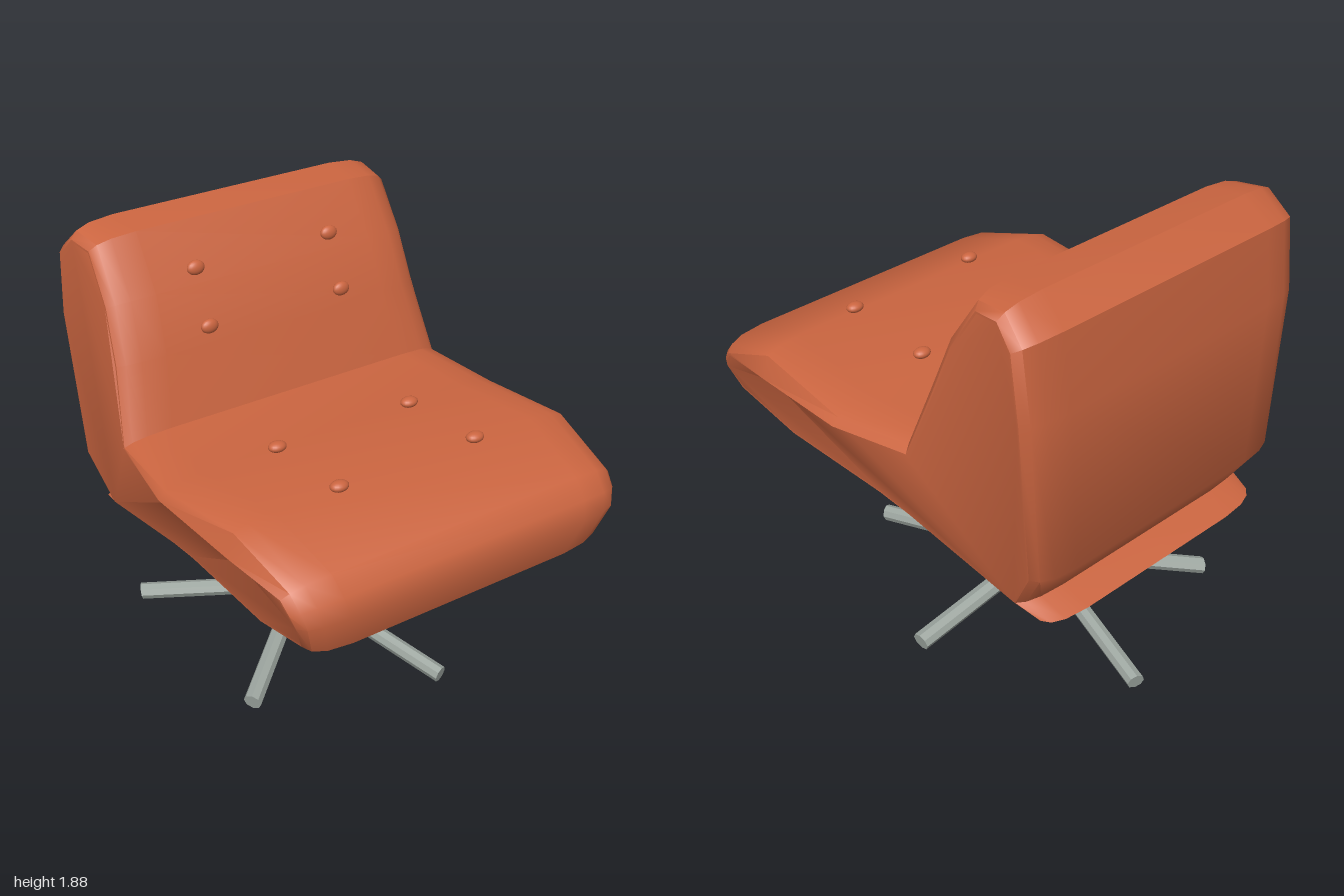
import * as THREE from 'three';
import { toCreasedNormals } from 'three/addons/utils/BufferGeometryUtils.js';

const upholstery = new THREE.MeshStandardMaterial({ color: 0xcb6540 });
upholstery.name = 'orange upholstery';
const metal = new THREE.MeshStandardMaterial({ color: 0x9ca59f });
metal.name = 'grey metal';
const dark = new THREE.MeshStandardMaterial({ color: 0x313a36 });
dark.name = 'dark collar';

// Side outline: z, y, half width, extra drop of the edge, half width under the edge
const OUTLINE = [
  [1.0, 0.92, 0.76], [0.975, 1.0, 0.775], [0.91, 1.07, 0.785],
  [0.58, 1.17, 0.82, 0.07, 0.775], [0.1, 1.11, 0.84, 0, 0.785], [-0.24, 1.13, 0.785],
  [-0.33, 1.41, 0.74], [-0.42, 1.64, 0.725], [-0.57, 1.86, 0.72], [-0.74, 1.88, 0.735],
  [-0.86, 1.77, 0.752], [-0.9, 1.46, 0.745], [-0.9, 0.74, 0.69], [-0.78, 0.56, 0.64],
  [-0.89, 0.495, 0.615], [-0.5, 0.51, 0.62], [0.05, 0.62, 0.67], [0.6, 0.65, 0.69], [0.95, 0.76, 0.715],
];

// Rounding towards the side: [inset in x, shrink of the outline]
const ROUNDING = [[0.2, 0], [0.09, 0.01], [0.03, 0.03], [0, 0.06]];

function mesh(name, geometry, material, parent) {
  const m = new THREE.Mesh(geometry, material);
  m.name = name;
  parent.add(m);
  return m;
}

function seatShellGeometry() {
  const n = OUTLINE.length;
  // Inward direction at each outline point
  const inward = OUTLINE.map(([z, y], i) => {
    const a = OUTLINE[(i + n - 1) % n], b = OUTLINE[(i + 1) % n];
    const d1 = new THREE.Vector2(z - a[0], y - a[1]).normalize();
    const d2 = new THREE.Vector2(b[0] - z, b[1] - y).normalize();
    const t = d1.add(d2).normalize();
    return new THREE.Vector2(-t.y, t.x);
  });
  const ring = (inset, shrink, tuck) => OUTLINE.map(([z, y, w, drop = 0, under = w], i) => {
    const edge = shrink >= 0.06;
    return new THREE.Vector3(
      tuck ? under : w - inset,
      y + inward[i].y * shrink - (edge ? drop : 0) - (tuck && under !== w ? 0.02 : 0),
      z + inward[i].x * shrink);
  });
  const half = ROUNDING.map(([inset, shrink]) => ring(inset, shrink, false));
  half.push(ring(0, 0.07, true));
  const mirrored = half.map(r => r.map(p => new THREE.Vector3(-p.x, p.y, p.z))).reverse();
  const rings = [...mirrored, ...half];

  const positions = rings.flatMap(r => r.flatMap(p => [p.x, p.y, p.z]));
  const index = [];
  for (let j = 0; j < rings.length - 1; j++) {
    for (let i = 0; i < n; i++) {
      const k = (i + 1) % n;
      const a = j * n + i, b = (j + 1) * n + i, c = j * n + k, d = (j + 1) * n + k;
      index.push(a, b, c, b, d, c);
    }
  }
  // Side panels
  const last = rings.length - 1;
  const flat = rings[last].map(p => new THREE.Vector2(p.z, p.y));
  for (const [a, b, c] of THREE.ShapeUtils.triangulateShape(flat.slice(), [])) {
    const area = THREE.ShapeUtils.area([flat[a], flat[b], flat[c]]);
    const tri = area < 0 ? [a, b, c] : [a, c, b];
    index.push(...tri.map(v => v + last * n), tri[0], tri[2], tri[1]);
  }
  const g = new THREE.BufferGeometry();
  g.setAttribute('position', new THREE.Float32BufferAttribute(positions, 3));
  g.setIndex(index);
  return toCreasedNormals(g, 0.7);
}

function lathe(points, segments = 32) {
  const g = new THREE.LatheGeometry(points.map(([r, y]) => new THREE.Vector2(r, y)), segments);
  return toCreasedNormals(g, 0.6);
}

export function createModel() {
  const chair = new THREE.Group();
  chair.name = 'swivel chair';

  mesh('seatAndBackrest', seatShellGeometry(), upholstery, chair);

  // Tufting buttons: z, y, tilt about x
  const buttonGeometry = new THREE.SphereGeometry(1, 20, 12);
  for (const [z, y, tilt] of [[0.585, 1.185, 0], [0.155, 1.148, 0], [-0.345, 1.477, 1.45], [-0.44, 1.702, 1.35]]) {
    for (const side of [-1, 1]) {
      const button = mesh('button', buttonGeometry, upholstery, chair);
      button.scale.set(0.04, 0.022, 0.031);
      button.position.set(side * 0.327, y, z);
      button.rotation.x = tilt;
    }
  }

  // Pedestal, slightly deeper than wide
  const base = new THREE.Group();
  base.name = 'pedestal';
  base.position.z = -0.2;
  base.scale.z = 1.2;
  chair.add(base);
  mesh('column', lathe([
    [0, 0.09], [0.132, 0.09], [0.144, 0.135], [0.144, 0.2], [0.118, 0.33], [0.084, 0.39],
    [0.074, 0.392], [0.074, 0.54],
  ]), metal, base);
  mesh('collar', lathe([[0, 0.515], [0.108, 0.515], [0.108, 0.59], [0, 0.59]]), dark, base);

  // Five sloping legs
  const inner = new THREE.Vector3(0.06, 0.137, 0), outer = new THREE.Vector3(0.685, 0.04, 0);
  const direction = outer.clone().sub(inner);
  const legGeometry = new THREE.CylinderGeometry(0.036, 0.036, direction.length(), 8);
  legGeometry.applyQuaternion(new THREE.Quaternion().setFromUnitVectors(
    new THREE.Vector3(0, 1, 0), direction.normalize()));
  legGeometry.translate((inner.x + outer.x) / 2, (inner.y + outer.y) / 2, 0);
  const legFaceted = toCreasedNormals(legGeometry, 0.3);
  for (let i = 0; i < 5; i++) {
    mesh('leg', legFaceted, metal, base).rotation.y = i * Math.PI * 2 / 5;
  }
  return chair;
}
